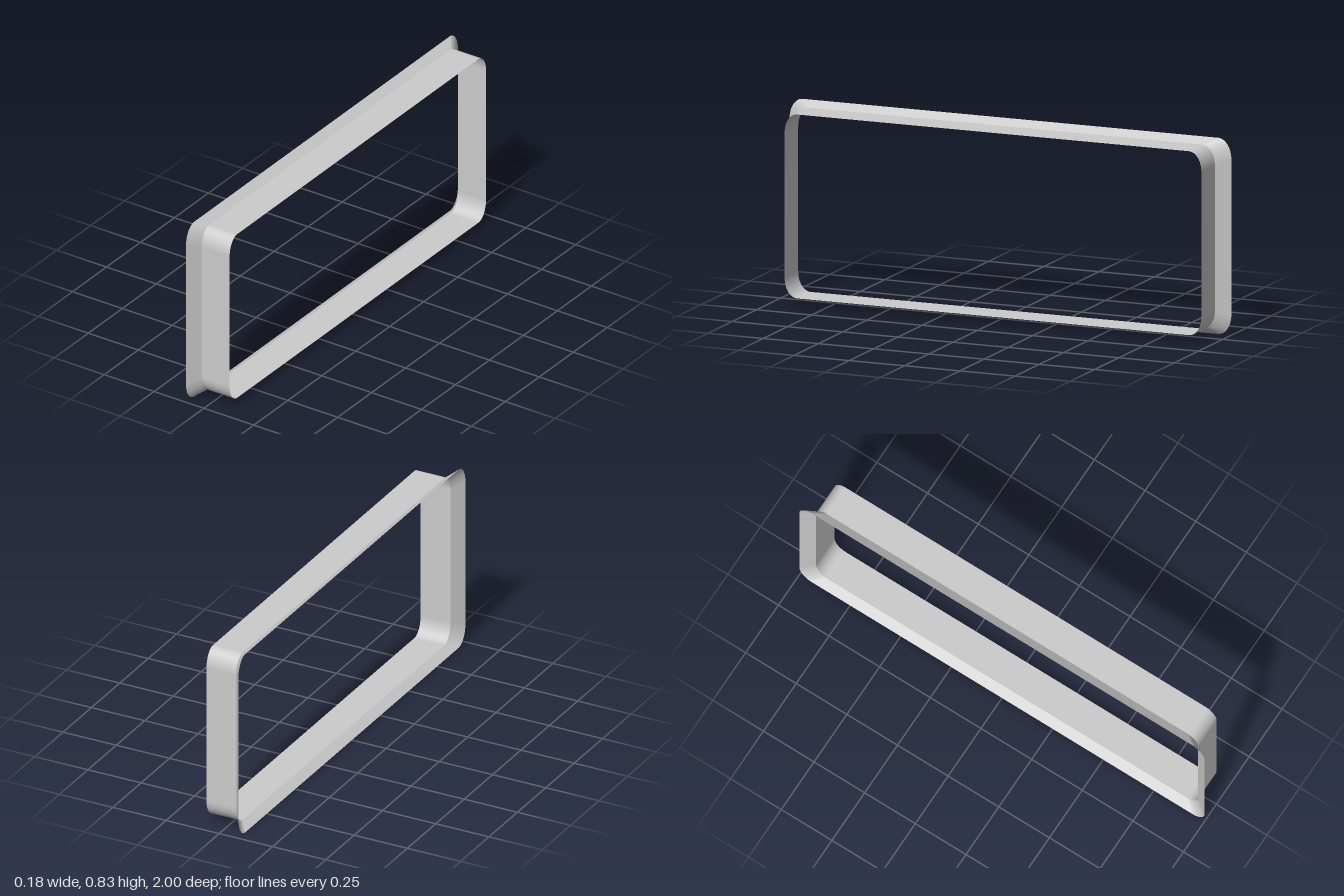
import * as THREE from 'three';

const CENTER_Y = 0.416;

// Closed rounded-rectangle ring in the plane x, as [x, y, z] points
function ring(x, halfZ, halfY, rz, ry, steps = 12) {
  const points = [];
  const corners = [[1, 1], [-1, 1], [-1, -1], [1, -1]];
  corners.forEach(([sz, sy], c) => {
    for (let i = 0; i <= steps; i++) {
      const a = (c + i / steps) * Math.PI / 2;
      points.push([
        x,
        CENTER_Y + sy * (halfY - ry) + ry * Math.sin(a),
        sz * (halfZ - rz) + rz * Math.cos(a),
      ]);
    }
  });
  return points;
}

// Open band joining two rings, facing outwards
function band(name, ringA, ringB, material) {
  const n = ringA.length;
  const index = [];
  for (let i = 0; i < n; i++) {
    const j = (i + 1) % n;
    index.push(i, i + n, j, j, i + n, j + n);
  }
  const geometry = new THREE.BufferGeometry();
  geometry.setAttribute('position',
    new THREE.Float32BufferAttribute([...ringA, ...ringB].flat(), 3));
  geometry.setIndex(index);
  geometry.computeVertexNormals();
  const mesh = new THREE.Mesh(geometry, material);
  mesh.name = name;
  return mesh;
}

export function createModel() {
  const group = new THREE.Group();
  group.name = 'rectangularCollar';
  const material = new THREE.MeshStandardMaterial({
    color: 0xcccccc, side: THREE.DoubleSide,
  });

  const rim = ring(-0.09, 1, 0.416, 0.06, 0.087);
  const neck = ring(-0.05, 0.943, 0.39, 0.056, 0.081);
  const mouth = ring(0.09, 0.943, 0.39, 0.056, 0.081);

  // Flared flange on the right, straight sleeve on the left;
  // separate meshes keep the crease between them sharp
  group.add(band('flaredFlange', rim, neck, material));
  group.add(band('sleeve', neck, mouth, material));
  return group;
}
